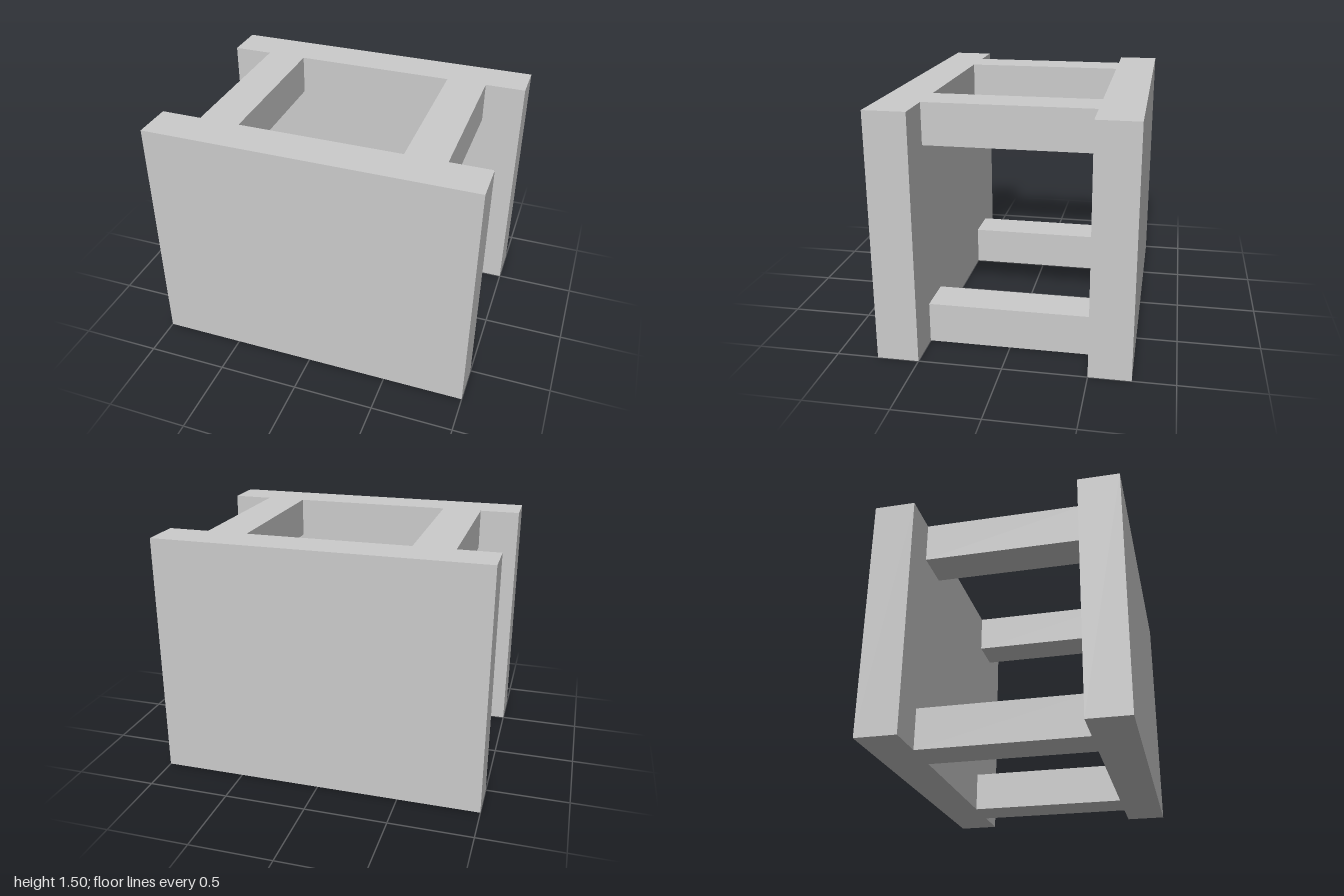
import * as THREE from 'three';

const T = 0.25; // thickness of walls and beams
const WIDTH = 2, HEIGHT = 1.5, DEPTH = 1.5;

export function createModel() {
  const model = new THREE.Group();
  const material = new THREE.MeshStandardMaterial({ color: 0xcccccc, flatShading: true });

  const addBox = (name, w, h, d, x, y, z) => {
    const mesh = new THREE.Mesh(new THREE.BoxGeometry(w, h, d), material);
    mesh.name = name;
    mesh.position.set(x, y, z);
    model.add(mesh);
  };

  // Two full-height face walls
  for (const [name, side] of [['frontWall', 1], ['backWall', -1]]) {
    addBox(name, WIDTH, HEIGHT, T, 0, HEIGHT / 2, side * (DEPTH - T) / 2);
  }

  // Four cross beams joining the walls, flush with the top and bottom
  for (const [sideName, side] of [['left', 1], ['right', -1]]) {
    for (const [level, y] of [['Bottom', T / 2], ['Top', HEIGHT - T / 2]]) {
      addBox(`${sideName}${level}Beam`, T, T, DEPTH - 2 * T, side * 0.625, y, 0);
    }
  }

  return model;
}
